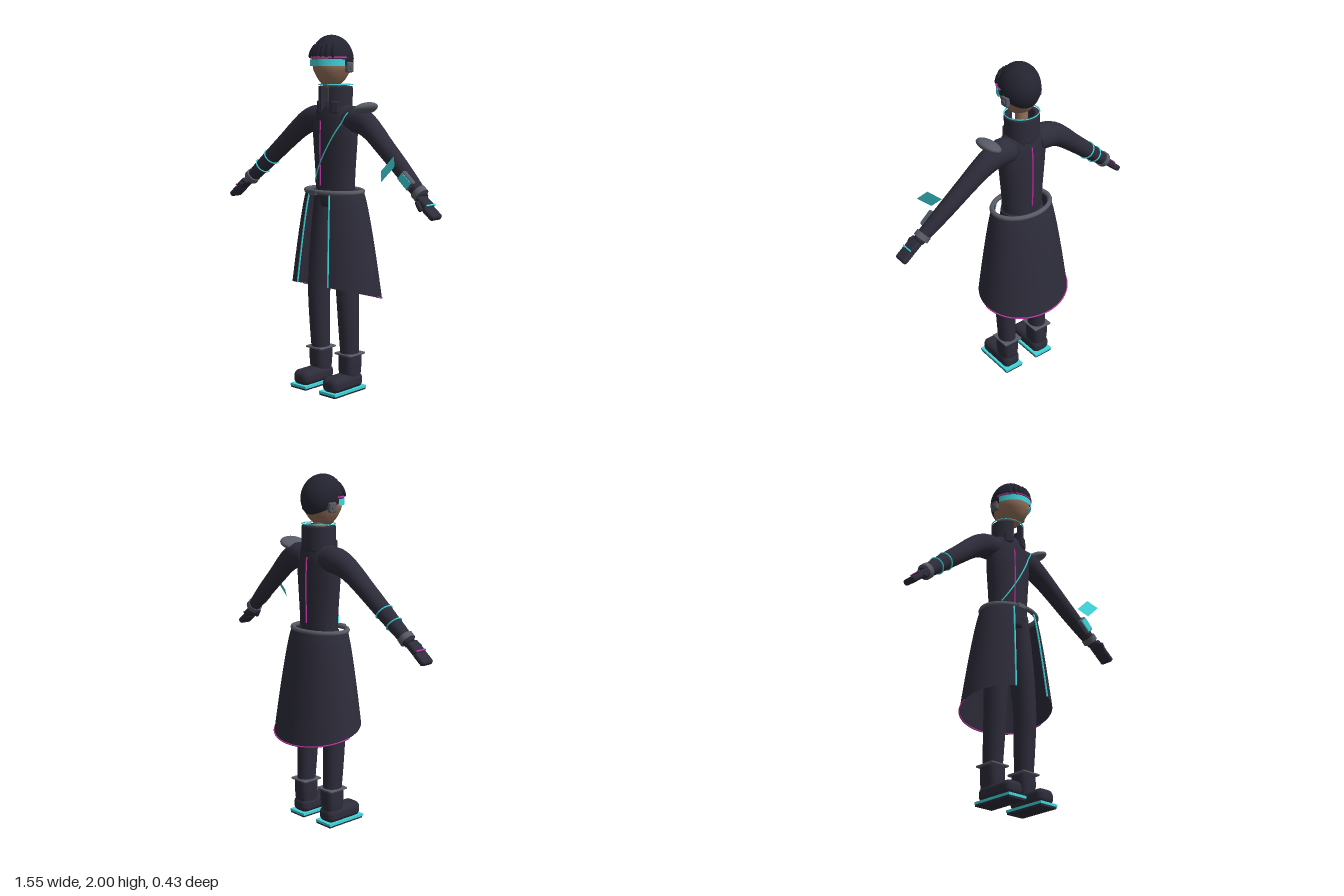
import * as THREE from 'three';
import { mergeVertices } from 'three/addons/utils/BufferGeometryUtils.js';
import { RoundedBoxGeometry } from 'three/addons/geometries/RoundedBoxGeometry.js';

const V = (x, y, z) => new THREE.Vector3(x, y, z);
const paint = (name, color, side = THREE.FrontSide) => {
  const m = new THREE.MeshStandardMaterial({ color, side });
  m.name = name;
  return m;
};

// Smooth body through sections [x, y, z, rx, rz]; power above 2 squares the section off
function loft(sections, power = 2, rings = 32, sides = 32) {
  const centre = new THREE.CatmullRomCurve3(sections.map(s => V(s[0], s[1], s[2])));
  const radius = new THREE.CatmullRomCurve3(sections.map(s => V(s[3], s[4], 0)));
  const pos = [], index = [];
  const bend = c => Math.sign(c) * Math.abs(c) ** (2 / power);
  for (let i = 0; i <= rings; i++) {
    const c = centre.getPoint(i / rings), r = radius.getPoint(i / rings), t = centre.getTangent(i / rings);
    const w = V(0, 0, 1).addScaledVector(t, -t.z).normalize(), u = t.clone().cross(w);
    for (let j = 0; j < sides; j++) {
      const a = j / sides * Math.PI * 2;
      pos.push(...c.clone().addScaledVector(u, r.x * bend(Math.cos(a))).addScaledVector(w, r.y * bend(Math.sin(a))));
      if (i < rings) {
        const p = i * sides + j, q = i * sides + (j + 1) % sides;
        index.push(p, p + sides, q, q, p + sides, q + sides);
      }
    }
  }
  const s = pos.length / 3, last = rings * sides;
  pos.push(...centre.getPoint(0), ...centre.getPoint(1));
  for (let j = 0; j < sides; j++) {
    const k = (j + 1) % sides;
    index.push(s, j, k, s + 1, last + k, last + j);
  }
  const g = new THREE.BufferGeometry();
  g.setAttribute('position', new THREE.Float32BufferAttribute(pos, 3));
  g.setIndex(index);
  g.computeVertexNormals();
  return g;
}

const tube = (points, r, closed = false) =>
  new THREE.TubeGeometry(new THREE.CatmullRomCurve3(points, closed), points.length * 3, r, 8, closed);
const sample = (n, f) => Array.from({ length: n + 1 }, (_, i) => f(i / n));
const arc = (rx, rz, y, cz, a, b) => sample(32, t => {
  const p = a + (b - a) * t;
  return V(rx * Math.sin(p), y, cz + rz * Math.cos(p));
});

// Flared skirt surface: p is the angle from the front, v runs from waist to slanted hem
function skirtPoint(p, v, out = 0) {
  const f = v ** 0.78, s = Math.sin(p), c = Math.cos(p);
  const hem = 0.565 + 0.062 * c;
  return V((0.18 + 0.103 * f + out) * s, 1.135 + (hem - 1.135) * v, 0.016 * (1 - f) + (0.136 + 0.082 * f + out) * c);
}

const TORSO = [
  [0, 1.05, 0.012, 0.105, 0.08], [0, 1.13, 0.012, 0.122, 0.09], [0, 1.24, 0.012, 0.127, 0.092],
  [0, 1.36, 0.012, 0.138, 0.094], [0, 1.46, 0.012, 0.147, 0.093], [0, 1.54, 0.01, 0.145, 0.088],
  [0, 1.6, 0.01, 0.12, 0.075], [0, 1.64, 0.01, 0.06, 0.05]];

// Depth of the chest surface at a given x and y
function chestZ(x, y) {
  let i = 0;
  while (i < TORSO.length - 2 && TORSO[i + 1][1] < y) i++;
  const a = TORSO[i], b = TORSO[i + 1], t = (y - a[1]) / (b[1] - a[1]);
  const rx = a[3] + (b[3] - a[3]) * t, rz = a[4] + (b[4] - a[4]) * t;
  const torso = 0.011 + rz * Math.sqrt(Math.max(0, 1 - (x / rx) ** 2));
  const arm = x > 0.09 ? Math.sqrt(Math.max(0, 0.073 ** 2 - (y - 1.535) ** 2)) : 0;
  return Math.max(torso, arm) + 0.003;
}

export function createModel() {
  const model = new THREE.Group();
  const cloth = paint('coat cloth', 0x2d2c3a), lining = paint('coat panel', 0x2d2c3a, THREE.DoubleSide);
  const hair = paint('hair', 0x242431, THREE.DoubleSide), skin = paint('skin', 0x94705a);
  const grey = paint('grey armour', 0x585b66), cyan = paint('cyan glow', 0x3fd6dc, THREE.DoubleSide);
  const pink = paint('magenta glow', 0xc034a4);
  const add = (name, geo, mat, parent = model) => {
    const m = new THREE.Mesh(geo, mat);
    m.name = name;
    parent.add(m);
    return m;
  };

  // Head, neck and hair
  add('head', loft([[0, 1.715, 0.022, 0.018, 0.03], [0, 1.735, 0.028, 0.05, 0.066], [0, 1.775, 0.034, 0.079, 0.096],
    [0, 1.82, 0.037, 0.1, 0.114], [0, 1.87, 0.035, 0.104, 0.118], [0, 1.93, 0.033, 0.085, 0.098],
    [0, 1.97, 0.033, 0.03, 0.04]]), skin);
  add('neck', new THREE.CylinderGeometry(0.034, 0.036, 0.15, 24).translate(0, 1.675, 0.015), skin);
  let cap = new THREE.SphereGeometry(1, 40, 24, 0, Math.PI * 2, 0, 3);
  const cp = cap.attributes.position;
  for (let i = 0; i < cp.count; i++) {
    const phi = Math.atan2(cp.getX(i), cp.getZ(i)), line = 1.829 + 0.048 * Math.cos(phi);
    const th = Math.acos(THREE.MathUtils.clamp(cp.getY(i), -1, 1)) / 3 * Math.acos((line - 1.87) / 0.13);
    cp.setXYZ(i, 0.109 * Math.sin(th) * Math.sin(phi) - 0.008 * Math.max(0, Math.cos(th)),
      1.87 + 0.13 * Math.cos(th), 0.033 + 0.125 * Math.sin(th) * Math.cos(phi));
  }
  cap.deleteAttribute('uv');
  cap.deleteAttribute('normal');
  cap = mergeVertices(cap, 1e-5);
  cap.computeVertexNormals();
  add('hair', cap, hair);
  for (let i = 0; i < 7; i++) {
    const x = -0.078 + i * 0.026;
    const strand = add('fringeStrand', new THREE.SphereGeometry(1, 14, 12), hair);
    strand.scale.set(0.015, 0.042, 0.012);
    strand.position.set(x, 1.912, 0.03 + 0.118 * Math.sqrt(1 - (x / 0.109) ** 2));
    strand.rotation.set(-0.3, 0, x * 3 - 0.1);
  }

  // Visor and ear pieces
  add('visor', new THREE.CylinderGeometry(1, 1, 0.036, 40, 1, true, -1.4, 2.8).scale(0.115, 1, 0.131)
    .translate(0, 1.848, 0.035), cyan);
  add('visorStrip', tube(arc(0.112, 0.128, 1.875, 0.035, -1.5, 1.5), 0.005), pink);
  for (const s of [-1, 1]) {
    add('earPiece', new RoundedBoxGeometry(0.026, 0.055, 0.05, 3, 0.008).translate(s * 0.105, 1.823, 0.013), grey);
    add('earButton', new THREE.CylinderGeometry(0.014, 0.014, 0.012, 16).rotateZ(Math.PI / 2)
      .translate(s * 0.119, 1.823, 0.013), grey);
  }

  // Torso with its glowing seams
  add('torso', loft(TORSO), cloth);
  add('frontSeam', tube(sample(16, t => V(-0.03, 1.17 + 0.36 * t, chestZ(-0.03, 1.17 + 0.36 * t))), 0.004), pink);
  add('chestSeam', tube(sample(20, t => {
    const x = -0.1 + 0.24 * t, y = 1.18 + 0.4 * t;
    return V(x, y, chestZ(x, y));
  }), 0.004), cyan);
  add('backSeam', tube(sample(16, t => {
    const y = 1.18 + 0.37 * t;
    return V(0, y, 0.022 - chestZ(0, y));
  }), 0.004), pink);

  // Standing collar, open at the front
  const collar = new THREE.Shape();
  const gap = 0.37, q = Math.PI / 2;
  collar.absellipse(0, 0, 0.094, 0.084, -q + gap, 3 * q - gap, false, 0);
  collar.absellipse(0, 0, 0.078, 0.068, 3 * q - gap, -q + gap, true, 0);
  add('collar', new THREE.ExtrudeGeometry(collar, {
    depth: 0.125, bevelEnabled: true, bevelSize: 0.006, bevelThickness: 0.008, bevelSegments: 3, curveSegments: 40,
  }).rotateX(-Math.PI / 2).scale(1, 1, -1 * -1).translate(0, 1.587, 0.01), cloth);
  for (const s of [-1, 1])
    add('collarTip', new RoundedBoxGeometry(0.045, 0.07, 0.024, 4, 0.011).rotateY(s * 0.55)
      .translate(s * 0.058, 1.605, 0.079), cloth);
  add('collarTrim', tube(arc(0.098, 0.088, 1.728, 0.01, 0, Math.PI * 2).slice(1), 0.003, true), cyan);

  // Belt and split skirt of the coat
  add('belt', tube(arc(0.178, 0.131, 0, 0.02, 0, Math.PI * 2).slice(1), 0.014, true).translate(0, 1.137, 0), grey);
  add('buckle', new RoundedBoxGeometry(0.052, 0.03, 0.018, 2, 0.004).translate(-0.034, 1.135, 0.158), grey);
  const open = 0.42, N = 56, M = 18, pos = [], idx = [];
  for (let i = 0; i <= M; i++) for (let j = 0; j <= N; j++) {
    pos.push(...skirtPoint(open + (Math.PI * 2 - 2 * open) * j / N, i / M));
    if (i < M && j < N) {
      const a = i * (N + 1) + j, b = a + N + 1;
      idx.push(a, b, a + 1, a + 1, b, b + 1);
    }
  }
  const skirt = new THREE.BufferGeometry();
  skirt.setAttribute('position', new THREE.Float32BufferAttribute(pos, 3));
  skirt.setIndex(idx);
  skirt.computeVertexNormals();
  add('coatSkirt', skirt, lining);
  for (const s of [-1, 1])
    add('skirtTrim', tube(sample(16, t => skirtPoint(s * open, 0.02 + 0.98 * t, 0.002)), 0.005), cyan);
  add('hemTrim', tube(sample(32, t => skirtPoint(1.65 + (Math.PI * 2 - 3.3) * t, 1, 0.001)), 0.004), pink);

  for (const s of [-1, 1]) {
    // Arms and cuffs
    add('arm', loft([[s * 0.08, 1.535, 0.005, 0.07, 0.07], [s * 0.15, 1.538, 0, 0.073, 0.07],
      [s * 0.21, 1.52, 0.003, 0.068, 0.063], [s * 0.28, 1.475, 0.01, 0.059, 0.057], [s * 0.36, 1.408, 0.02, 0.053, 0.052],
      [s * 0.5, 1.29, 0.035, 0.047, 0.045], [s * 0.63, 1.178, 0.053, 0.037, 0.037],
      [s * 0.66, 1.152, 0.057, 0.03, 0.032]]), cloth);
    const wrist = new THREE.Group();
    wrist.name = 'cuff';
    wrist.position.set(s * 0.635, 1.174, 0.055);
    wrist.rotation.z = -s * 0.71;
    model.add(wrist);
    add('cuffBand', new THREE.CylinderGeometry(0.044, 0.044, 0.032, 28).rotateZ(Math.PI / 2), grey, wrist);

    // Gloved hands with a glowing strip
    const hand = new THREE.Group();
    hand.name = 'hand';
    hand.position.set(s * 0.683, 1.13, 0.072);
    hand.rotation.z = -s * 0.66;
    model.add(hand);
    add('palm', new RoundedBoxGeometry(0.085, 0.04, 0.078, 3, 0.015), cloth, hand);
    add('fingers', new RoundedBoxGeometry(0.085, 0.034, 0.084, 3, 0.014).translate(s * 0.07, -0.006, 0.006), cloth, hand);
    add('thumb', new THREE.CapsuleGeometry(0.013, 0.035, 4, 12).rotateZ(s * 1.2).translate(s * 0.005, -0.012, 0.046), cloth, hand);
    add('handStrip', new THREE.BoxGeometry(0.008, 0.006, 0.07).translate(s * 0.036, 0.019, 0.002), s > 0 ? cyan : pink, hand);

    // Legs, boots and soles
    add('leg', loft([[s * 0.062, 1.13, 0.012, 0.06, 0.08], [s * 0.075, 1, 0.015, 0.066, 0.08],
      [s * 0.095, 0.78, 0.025, 0.065, 0.076], [s * 0.11, 0.55, 0.03, 0.06, 0.068],
      [s * 0.113, 0.35, 0.022, 0.056, 0.061], [s * 0.113, 0.19, 0.014, 0.05, 0.055]]), cloth);
    add('bootShaft', loft([[s * 0.113, 0.08, 0.013, 0.05, 0.055], [s * 0.113, 0.11, 0.013, 0.053, 0.06],
      [s * 0.113, 0.16, 0.013, 0.056, 0.062], [s * 0.113, 0.216, 0.013, 0.056, 0.061]], 3, 12), cloth);
    add('bootCuff', new RoundedBoxGeometry(0.122, 0.012, 0.13, 2, 0.005).translate(s * 0.113, 0.215, 0.013), grey);
    add('bootFoot', new RoundedBoxGeometry(0.114, 0.088, 0.248, 5, 0.036).translate(s * 0.113, 0.06, 0.074), cloth);
    add('soleGlow', new THREE.BoxGeometry(0.122, 0.014, 0.264).translate(s * 0.113, 0.017, 0.073), cyan);
    add('sole', new THREE.BoxGeometry(0.116, 0.01, 0.258).translate(s * 0.113, 0.005, 0.073), cloth);
  }

  // Right arm: glowing rings and shoulder dash
  for (const [x, y, z, r] of [[-0.555, 1.242, 0.043, 0.046], [-0.49, 1.298, 0.034, 0.049]]) {
    const ring = add('forearmRing', new THREE.TorusGeometry(r, 0.004, 8, 40).rotateY(Math.PI / 2), cyan);
    ring.position.set(x, y, z);
    ring.rotation.z = 0.71;
  }
  add('shoulderDash', tube([V(-0.25, 1.566, 0.012), V(-0.22, 1.583, 0.01), V(-0.19, 1.597, 0.01)], 0.004), cyan);

  // Left arm: shoulder plate, wrist device and floating panel
  const plate = add('shoulderPlate', new THREE.SphereGeometry(1, 32, 20), grey);
  plate.scale.set(0.062, 0.029, 0.083);
  plate.position.set(0.22, 1.6, 0.012);
  plate.rotation.z = 0.42;
  const device = new THREE.Group();
  device.name = 'wristDevice';
  device.position.set(0.568, 1.238, 0.08);
  device.rotation.z = -0.72;
  model.add(device);
  add('deviceCase', new RoundedBoxGeometry(0.092, 0.058, 0.036, 2, 0.006), grey, device);
  add('deviceScreen', new THREE.BoxGeometry(0.076, 0.044, 0.006).translate(0, 0, 0.02), cyan, device);
  const panel = new THREE.BufferGeometry().setFromPoints(
    [V(0.445, 1.285, 0.142), V(0.485, 1.233, 0.188), V(0.573, 1.318, 0.188), V(0.533, 1.37, 0.142)]);
  panel.setIndex([0, 1, 2, 0, 2, 3]);
  panel.computeVertexNormals();
  add('floatingPanel', panel, cyan);
  return model;
}
